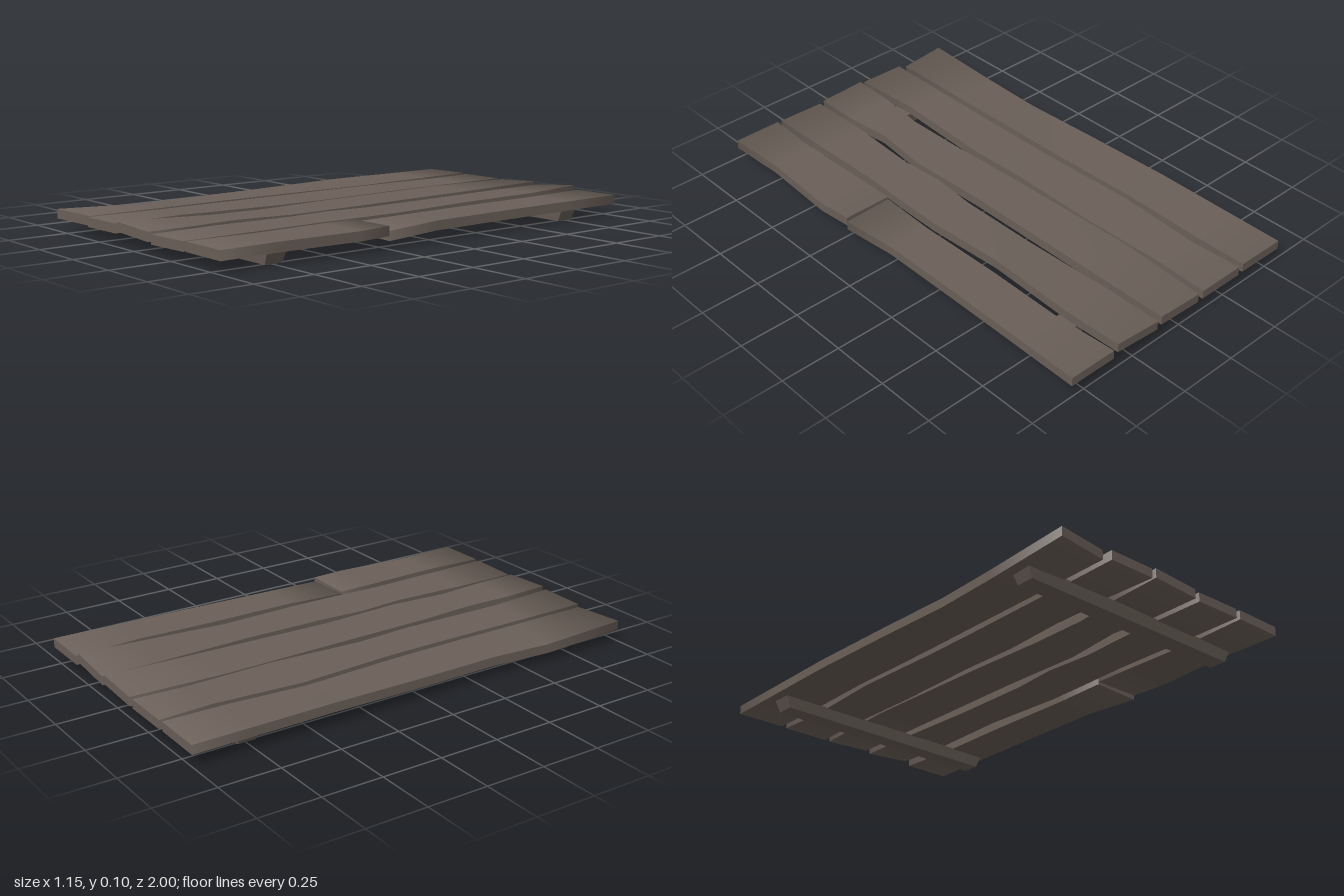
import * as THREE from 'three';

const wood = new THREE.MeshStandardMaterial({ color: 0x6a5f58 });
wood.name = 'weathered wood';

const THICK = 0.038;

// Each station along a plank: [z, left x, right x, left top y, right top y]
const PLANKS = {
  plankOne: [
    [-1, -0.575, -0.36, 0.085, 0.088], [-0.75, -0.575, -0.36, 0.086, 0.086], [-0.4, -0.575, -0.375, 0.088, 0.08],
    [0, -0.57, -0.362, 0.082, 0.084], [0.35, -0.56, -0.36, 0.078, 0.085], [0.62, -0.573, -0.36, 0.073, 0.084], [1, -0.575, -0.36, 0.088, 0.084],
  ],
  plankTwo: [
    [-1, -0.338, -0.13, 0.085, 0.086], [-0.78, -0.326, -0.14, 0.084, 0.085], [-0.4, -0.35, -0.13, 0.082, 0.086],
    [0, -0.332, -0.143, 0.085, 0.08], [0.25, -0.33, -0.132, 0.085, 0.082], [0.7, -0.333, -0.15, 0.084, 0.086], [1, -0.335, -0.13, 0.085, 0.087],
  ],
  plankThree: [
    [-1, -0.105, 0.1, 0.085, 0.096], [-0.6, -0.125, 0.096, 0.086, 0.09], [0, -0.11, 0.09, 0.084, 0.083],
    [0.35, -0.098, 0.105, 0.08, 0.084], [0.6, -0.09, 0.08, 0.084, 0.086], [0.8, -0.108, 0.098, 0.09, 0.086], [1, -0.11, 0.1, 0.096, 0.086],
  ],
  plankFour: [
    [-1, 0.12, 0.33, 0.085, 0.104], [-0.75, 0.12, 0.33, 0.085, 0.094], [-0.35, 0.135, 0.31, 0.084, 0.087],
    [0, 0.135, 0.328, 0.082, 0.084], [0.2, 0.12, 0.325, 0.083, 0.084], [0.4, 0.135, 0.318, 0.083, 0.083], [0.72, 0.12, 0.325, 0.083, 0.083], [1, 0.12, 0.33, 0.08, 0.084],
  ],
  brokenPlankBack: [
    [-1, 0.35, 0.56, 0.086, 0.088], [-0.72, 0.368, 0.555, 0.086, 0.086], [-0.4, 0.362, 0.55, 0.084, 0.084],
    [0, 0.365, 0.545, 0.082, 0.08], [0.25, 0.35, 0.56, 0.076, 0.069],
  ],
  brokenPlankFront: [
    [0.25, 0.35, 0.56, 0.086, 0.088], [0.4, 0.352, 0.572, 0.086, 0.086], [0.74, 0.362, 0.55, 0.086, 0.084], [1, 0.35, 0.56, 0.086, 0.085],
  ],
};

// Four long strips and two end caps; the long faces shade softly into the ends.
function plankGeometry(stations, frontSkew = 0) {
  const pos = [], idx = [], ends = [];
  const n = stations.length;
  const rings = stations.map(([z, xl, xr, yl, yr], i) => {
    const zr = i === n - 1 ? z - frontSkew : z;
    return [[xl, yl, z], [xr, yr, zr], [xr, yr - THICK, zr], [xl, yl - THICK, z]];
  });
  for (let side = 0; side < 4; side++) {
    const base = pos.length / 3;
    rings.forEach((ring, i) => {
      pos.push(...ring[side], ...ring[(side + 1) % 4]);
      const a = base + i * 2;
      if (i === 0) ends.push([a, -1], [a + 1, -1]);
      if (i === n - 1) ends.push([a, 1], [a + 1, 1]);
      else idx.push(a, a + 2, a + 1, a + 1, a + 2, a + 3);
    });
  }
  for (const [ring, front] of [[rings[0], false], [rings[n - 1], true]]) {
    const b = pos.length / 3;
    ring.forEach((p) => pos.push(...p));
    idx.push(...(front ? [b, b + 2, b + 1, b, b + 3, b + 2] : [b, b + 1, b + 2, b, b + 2, b + 3]));
  }
  const geo = new THREE.BufferGeometry();
  geo.setAttribute('position', new THREE.Float32BufferAttribute(pos, 3));
  geo.setIndex(idx);
  geo.computeVertexNormals();
  const normal = geo.attributes.normal, v = new THREE.Vector3();
  for (const [i, dir] of ends) {
    v.fromBufferAttribute(normal, i);
    v.z += dir * 0.8;
    v.normalize();
    normal.setXYZ(i, v.x, v.y, v.z);
  }
  return geo;
}

// Cross batten, narrower at its underside
function battenGeometry() {
  const geo = new THREE.BoxGeometry(1.07, 0.05, 0.088);
  const p = geo.attributes.position;
  for (let i = 0; i < p.count; i++) {
    if (p.getY(i) < 0) {
      p.setX(i, Math.sign(p.getX(i)) * 0.512);
      p.setZ(i, p.getZ(i) * 0.84);
    }
  }
  geo.computeVertexNormals();
  return geo;
}

export function createModel() {
  const model = new THREE.Group();
  model.name = 'plankPanel';
  const add = (name, geo) => {
    const mesh = new THREE.Mesh(geo, wood);
    mesh.name = name;
    model.add(mesh);
    return mesh;
  };

  // Boards
  for (const [name, stations] of Object.entries(PLANKS)) {
    add(name, plankGeometry(stations, name === 'plankOne' ? 0.02 : 0));
  }

  // Battens underneath
  for (const [name, z] of [['frontBatten', 0.745], ['backBatten', -0.745]]) {
    add(name, battenGeometry()).position.set(0, 0.025, z);
  }
  return model;
}
